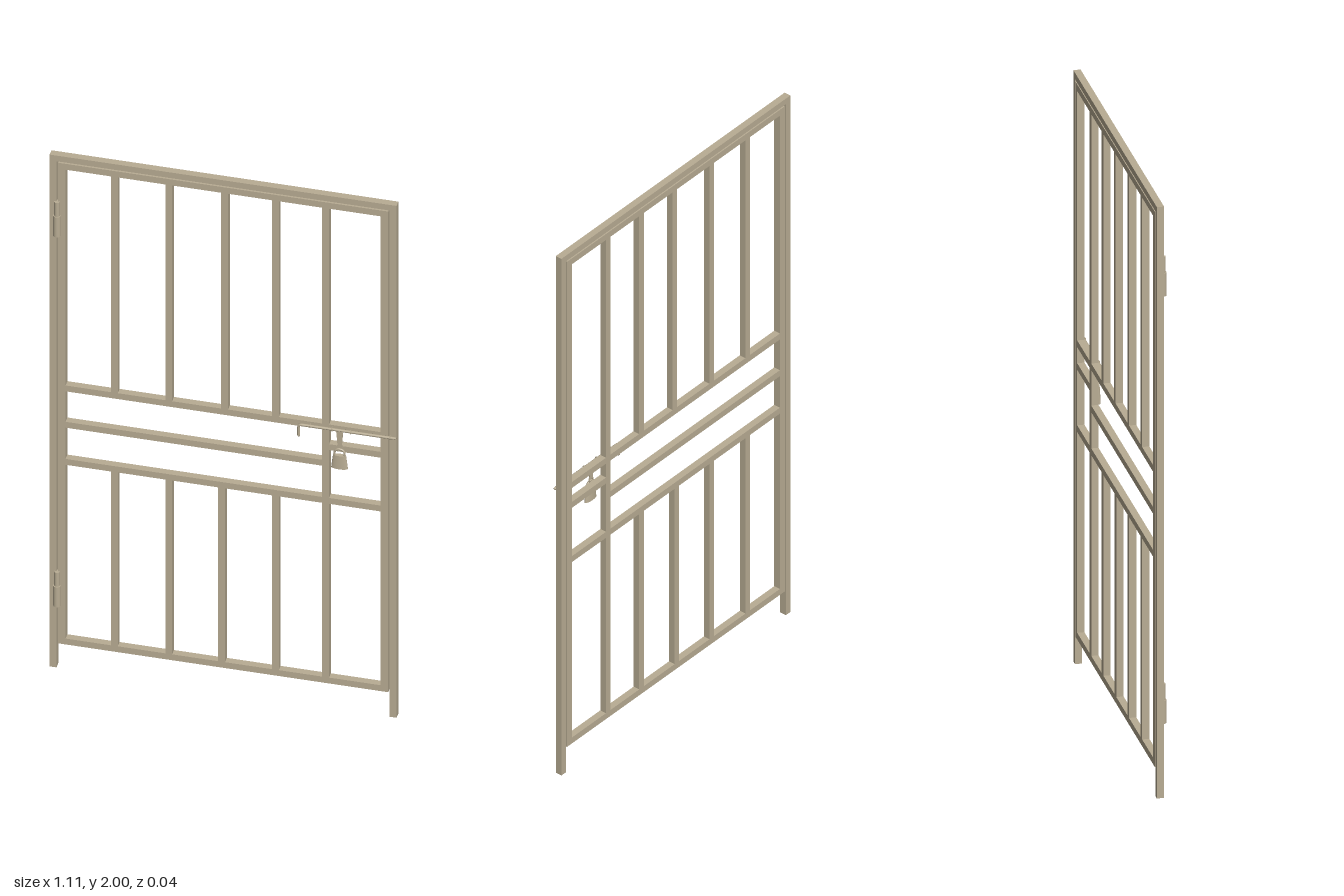
import * as THREE from 'three';

export function createModel() {
  const model = new THREE.Group();
  model.name = 'barredGate';
  const mat = new THREE.MeshStandardMaterial({ color: 0xb9ad94 });

  const add = (name, geo, x, y, z, parent = model) => {
    const m = new THREE.Mesh(geo, mat);
    m.name = name;
    m.position.set(x, y, z);
    parent.add(m);
    return m;
  };
  // Square tube given by its extent in x and y; all share one depth
  const D = 0.023, Z = -0.0105;
  const bar = (name, x0, x1, y0, y1, parent) =>
    add(name, new THREE.BoxGeometry(x1 - x0, y1 - y0, D), (x0 + x1) / 2, (y0 + y1) / 2, Z, parent);
  const group = (name) => {
    const g = new THREE.Group();
    g.name = name;
    model.add(g);
    return g;
  };

  // Fixed outer frame
  const frame = group('outerFrame');
  bar('rightPost', -0.555, -0.533, 0, 2, frame);
  bar('leftPost', 0.533, 0.555, 0, 2, frame);
  bar('header', -0.533, 0.533, 1.978, 2, frame);

  // Swinging leaf
  const leaf = group('leaf');
  bar('hingeStile', -0.528, -0.504, 0.095, 1.973, leaf);
  bar('latchStile', 0.504, 0.528, 0.095, 1.973, leaf);
  for (const [name, y0, y1, x0, x1] of [
    ['bottomRail', 0.095, 0.118, -0.504, 0.504],
    ['lowerRail', 0.797, 0.82, -0.504, 0.504],
    ['middleRail', 0.942, 0.965, -0.504, 0.317],
    ['latchRail', 1.007, 1.03, 0.339, 0.504],
    ['upperRail', 1.084, 1.107, -0.504, 0.504],
    ['topRail', 1.95, 1.973, -0.504, 0.504],
  ]) bar(name, x0, x1, y0, y1, leaf);
  bar('latchUpright', 0.317, 0.339, 0.82, 1.084, leaf);

  // Upright bars above and below the middle band
  const w = 0.011;
  for (const x of [-0.348, -0.174, 0.005, 0.167, 0.328])
    bar('upperBar', x - w, x + w, 1.107, 1.95, leaf);
  for (const x of [-0.348, -0.174, -0.005, 0.167, 0.328])
    bar('lowerBar', x - w, x + w, 0.118, 0.797, leaf);

  // Barrel hinges: wide lower knuckle, narrower upper one
  for (const y of [0.245, 1.69]) {
    const hinge = group('hinge');
    add('lowerKnuckle', new THREE.CylinderGeometry(0.0125, 0.0125, 0.078, 20), -0.531, y + 0.039, 0.002, hinge);
    add('upperKnuckle', new THREE.CylinderGeometry(0.009, 0.009, 0.054, 20), -0.531, y + 0.105, 0.002, hinge);
  }

  // Sliding bolt with a bent handle
  const bolt = group('slidingBolt');
  const path = new THREE.CurvePath();
  const v = (x, y) => new THREE.Vector3(x, y, 0);
  path.add(new THREE.LineCurve3(v(0.243, 1.053), v(0.243, 1.085)));
  path.add(new THREE.QuadraticBezierCurve3(v(0.243, 1.085), v(0.243, 1.095), v(0.253, 1.095)));
  path.add(new THREE.LineCurve3(v(0.253, 1.095), v(0.553, 1.095)));
  add('boltRod', new THREE.TubeGeometry(path, 60, 0.0045, 10), 0, 0, 0.007, bolt);
  add('handleTip', new THREE.SphereGeometry(0.0045, 10, 8), 0.243, 1.053, 0.007, bolt);
  add('rodEnd', new THREE.SphereGeometry(0.0045, 10, 8), 0.551, 1.095, 0.007, bolt);
  for (const x of [0.28, 0.35, 0.41, 0.535]) {
    const ring = add('boltGuide', new THREE.TorusGeometry(0.006, 0.002, 8, 18), x, 1.095, 0.006, bolt);
    ring.rotation.y = Math.PI / 2;
  }

  // Hasp tab hanging from the rod, with a hole for the shackle
  const tab = new THREE.Shape();
  tab.moveTo(-0.011, 0.09);
  tab.lineTo(-0.007, 0.04);
  tab.absarc(0, 0.026, 0.0105, Math.PI * 0.8, Math.PI * 2.2, false);
  tab.lineTo(0.007, 0.04);
  tab.lineTo(0.011, 0.09);
  const hole = new THREE.Path();
  hole.absarc(0, 0.026, 0.006, 0, Math.PI * 2, true);
  tab.holes.push(hole);
  add('haspTab', new THREE.ExtrudeGeometry(tab, { depth: 0.004, bevelEnabled: false }), 0.375, 1.002, 0.007, bolt);

  // Padlock: flattened, tapering body and a round shackle
  const lock = group('padlock');
  const body = add('padlockBody', new THREE.CylinderGeometry(0.021, 0.027, 0.05, 28), 0.375, 0.977, 0.011, lock);
  body.scale.z = 0.33;
  const shacklePath = new THREE.CurvePath();
  shacklePath.add(new THREE.LineCurve3(v(-0.016, 0), v(-0.016, 0.009)));
  shacklePath.add(new THREE.CubicBezierCurve3(v(-0.016, 0.009), v(-0.016, 0.03), v(0.016, 0.03), v(0.016, 0.009)));
  shacklePath.add(new THREE.LineCurve3(v(0.016, 0.009), v(0.016, 0)));
  add('shackle', new THREE.TubeGeometry(shacklePath, 32, 0.0035, 8), 0.375, 1.0, 0.011, lock);

  return model;
}
